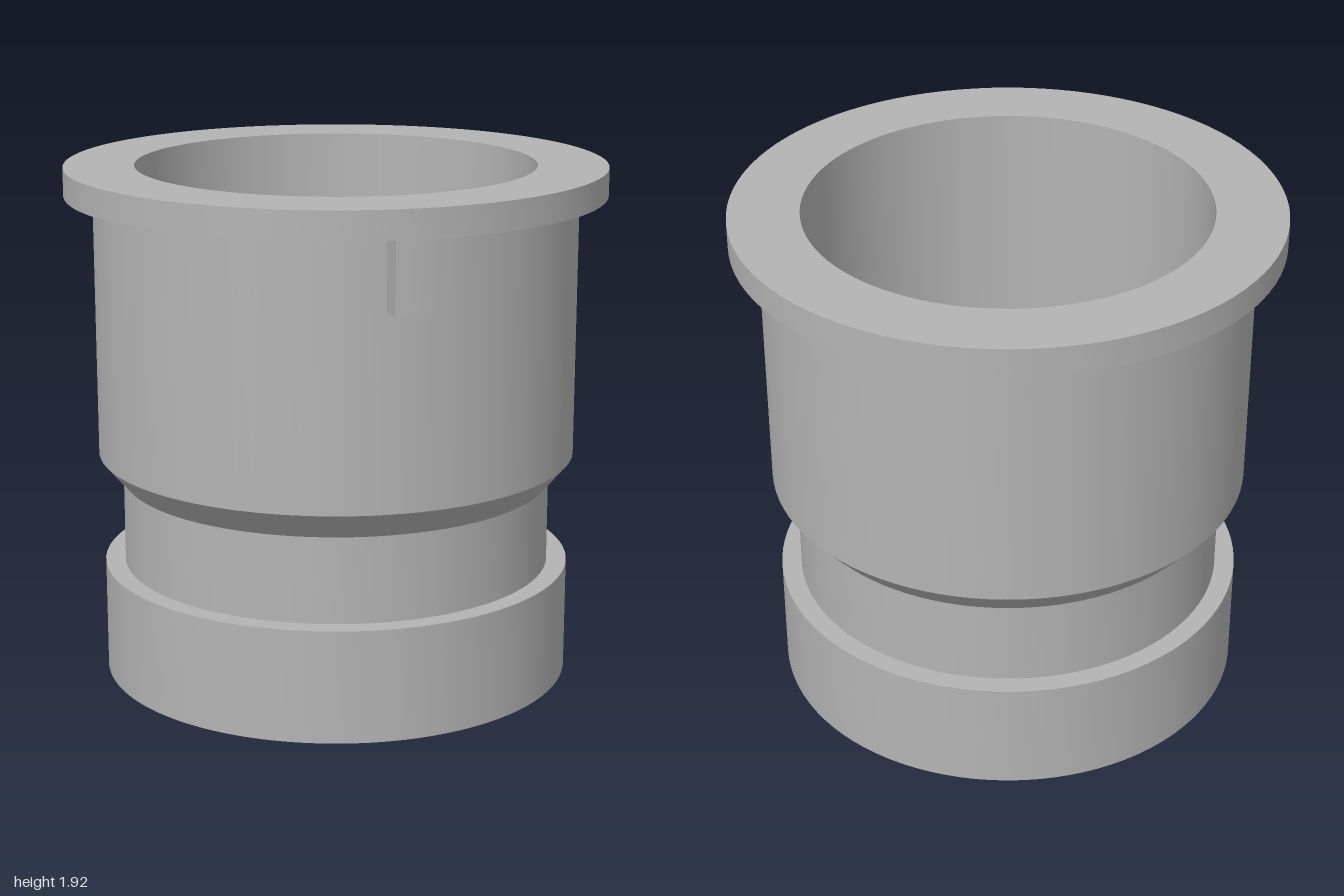
import * as THREE from 'three';
import { toCreasedNormals } from 'three/addons/utils/BufferGeometryUtils.js';

export function createModel() {
  const model = new THREE.Group();
  model.name = 'flangedSleeve';
  const grey = new THREE.MeshStandardMaterial({ color: 0xb4b4b4 });
  grey.name = 'grey';

  const add = (name, geometry) => {
    const mesh = new THREE.Mesh(toCreasedNormals(geometry, 0.4), grey);
    mesh.name = name;
    model.add(mesh);
  };

  // Hollow sleeve: collar, neck, chamfer, barrel, flange, then back down the bore
  const bore = 0.74, height = 1.925, flangeBase = 1.82;
  const profile = [
    [bore, 0], [0.88, 0], [0.88, 0.42], [0.805, 0.42], [0.805, 0.74],
    [0.895, 0.845], [0.895, flangeBase], [1, flangeBase], [1, height],
    [bore, height], [bore, 0],
  ].map(([r, y]) => new THREE.Vector2(r, y));
  add('sleeveBody', new THREE.LatheGeometry(profile, 96));

  // Locating key under the flange, its outer face flush with the rim
  const half = 0.068, angle = Math.asin(half);
  const section = new THREE.Shape();
  section.moveTo(-half, 0.88);
  section.lineTo(half, 0.88);
  section.absarc(0, 0, 1, Math.PI / 2 - angle, Math.PI / 2 + angle, false);
  section.closePath();
  const key = new THREE.ExtrudeGeometry(section, {
    depth: flangeBase - 1.56, bevelEnabled: false, curveSegments: 4,
  });
  key.rotateX(Math.PI / 2).translate(0, flangeBase, 0);
  add('locatingKey', key);

  return model;
}
